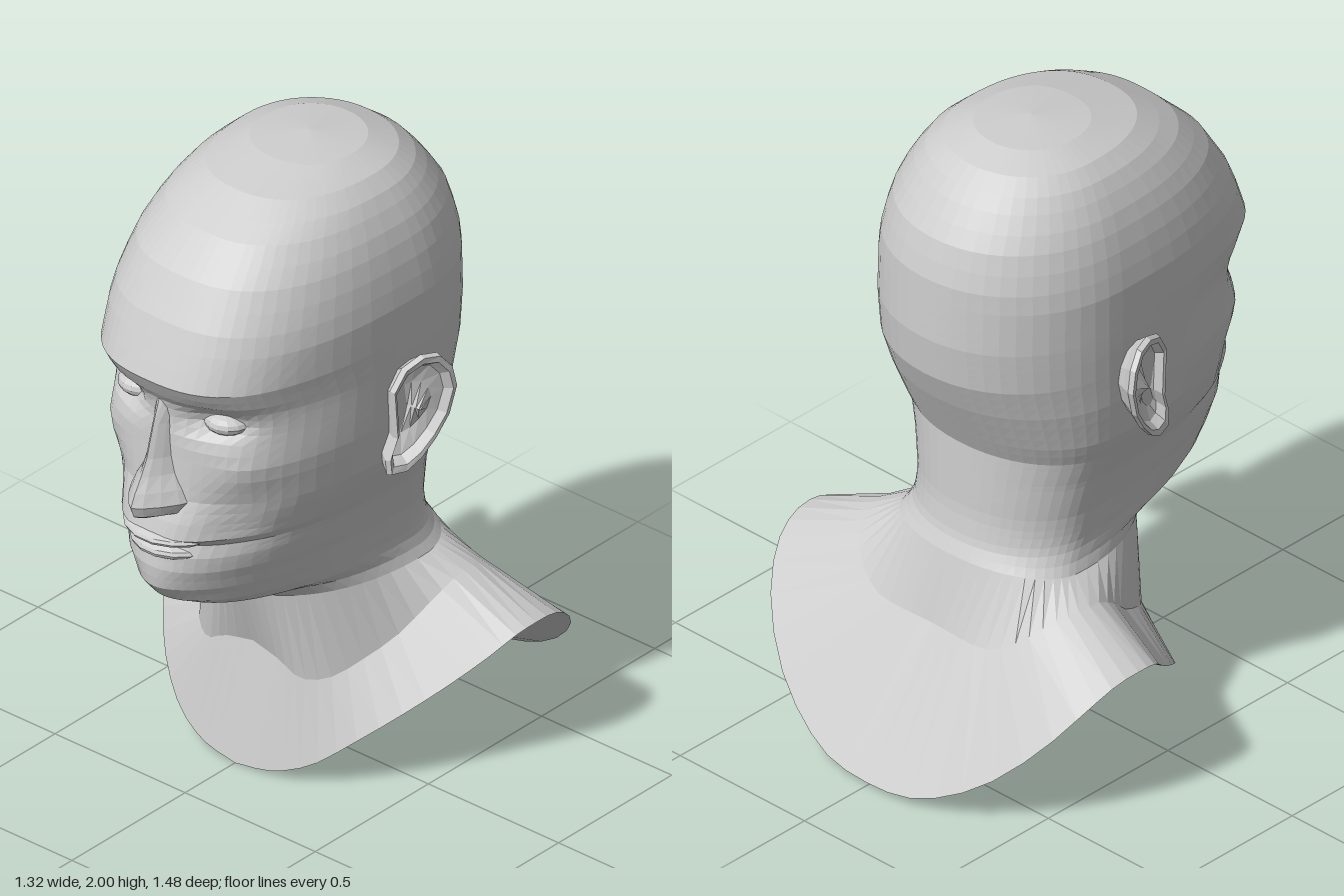
import * as THREE from 'three';

const clay = new THREE.MeshStandardMaterial({ color: 0xcccccc });
clay.name = 'clay grey';

const V = (x, y, z) => new THREE.Vector3(x, y, z);
const HALF = 30; // columns from the front to the back of one side
const steps = Array.from({ length: HALF + 1 }, (_, i) => Math.pow(i / HALF, 1.2));

// Piecewise linear lookup in a table of [y, value]
function lookup(table, y) {
  if (y <= table[0][0]) return table[0][1];
  for (let i = 1; i < table.length; i++) {
    const [y0, a] = table[i - 1], [y1, b] = table[i];
    if (y <= y1) return a + (b - a) * (y - y0) / (y1 - y0);
  }
  return table[table.length - 1][1];
}

// Faceted mesh
function facet(name, geometry) {
  const g = geometry.index ? geometry.toNonIndexed() : geometry;
  g.computeVertexNormals();
  const mesh = new THREE.Mesh(g, clay);
  mesh.name = name;
  return mesh;
}

// Skin over closed rings of equal length
function loft(name, rings) {
  const n = rings[0].length, index = [];
  for (let r = 0; r < rings.length - 1; r++) {
    for (let i = 0; i < n; i++) {
      const j = (i + 1) % n, a = r * n + i, b = r * n + j;
      index.push(a, b, b + n, a, b + n, a + n);
    }
  }
  const g = new THREE.BufferGeometry().setFromPoints(rings.flat());
  g.setIndex(index);
  return facet(name, g);
}

// Complete a left half ring (front to back) with its mirror image
const fullRing = half => [...half, ...half.slice(1, -1).reverse().map(p => V(-p.x, p.y, p.z))];

// Half ring sampled from a curve through a few points
function curveRing(points) {
  const c = new THREE.CatmullRomCurve3(points.map(p => V(...p)));
  return fullRing(steps.map(t => c.getPoint(t)));
}

// Head outline: front and back profile, half width, widest depth, squareness
const front = [[.6, .28], [.64, .33], [.67, .46], [.685, .54], [.715, .595], [.77, .63], [.84, .65], [.89, .645],
  [.93, .625], [.96, .665], [1.01, .65], [1.08, .62], [1.21, .61], [1.32, .605], [1.385, .61], [1.42, .635],
  [1.48, .67], [1.53, .65], [1.65, .6], [1.77, .525], [1.87, .42], [1.95, .28], [1.985, .12], [2, -.05]];
const back = [[.6, -.405], [.7, -.38], [.785, -.365], [1.01, -.355], [1.21, -.455], [1.315, -.5], [1.45, -.515],
  [1.66, -.505], [1.777, -.467], [1.9, -.375], [1.95, -.31], [1.985, -.22], [2, -.05]];
const width = [[.6, .325], [.64, .31], [.7, .3], [.8, .31], [.92, .335], [1.07, .385], [1.2, .4], [1.4, .405],
  [1.6, .405], [1.7, .388], [1.8, .36], [1.9, .305], [1.95, .25], [1.985, .165], [2, 0]];
const middle = [[.6, -.2], [.75, -.12], [1, -.08], [1.6, -.08], [2, -.05]];
const square = [[.6, 2], [.75, 2], [.95, 2.3], [1.2, 2.6], [1.6, 2.7], [1.9, 2.5], [2, 2.2]];
const rows = [.6, .64, .67, .685, .715, .745, .77, .805, .84, .87, .89, .91, .93, .945, .96, .985, 1.01, 1.045, 1.08,
  1.12, 1.165, 1.21, 1.25, 1.285, 1.315, 1.34, 1.365, 1.39, 1.42, 1.45, 1.48, 1.53, 1.59, 1.65, 1.71, 1.77, 1.82,
  1.87, 1.91, 1.95, 1.97, 1.985, 2];

// Soft bumps and hollows of the face: x, y, spread x, spread y, depth
const reliefs = [[.17, 1.345, .085, .045, -.06], [.27, 1.2, .07, .06, .02], [.22, 1, .07, .09, -.03],
  [0, .775, .08, .045, .015], [.38, 1.42, .06, .12, -.03]];
const relief = (x, y) => reliefs.reduce((s, [cx, cy, sx, sy, d]) =>
  s + d * Math.exp(-(((x - cx) / sx) ** 2) - ((y - cy) / sy) ** 2), 0);

function headRing(y) {
  const [zf, zb, w, zc, n] = [front, back, width, middle, square].map(t => lookup(t, y));
  const tilt = Math.max(0, .7 - y) * .5;
  return fullRing(steps.map(t => {
    const a = t * Math.PI, c = Math.cos(a), s = Math.max(0, Math.sin(a));
    const e = 2 / (c > 0 ? n : 2.1);
    const x = t === 1 ? 0 : w * Math.pow(s, e);
    const reach = Math.pow(Math.abs(c), e);
    const z = c > 0 ? zc + (zf - zc) * reach + relief(x, y) * Math.min(1, c * 2) : zc - (zc - zb) * reach;
    return V(x, y + tilt * (1 - c) / 2, z);
  }));
}

// Ellipsoid bent backwards along x to follow the face
function pad(name, [x, y, z], [rx, ry, rz], bend) {
  const g = new THREE.SphereGeometry(1, 14, 8);
  g.scale(rx, ry, rz);
  const p = g.attributes.position;
  for (let i = 0; i < p.count; i++) p.setZ(i, p.getZ(i) - bend * p.getX(i) ** 2);
  g.translate(x, y, z);
  return facet(name, g);
}

// Ear: outline in [z, y], flaring outwards towards its back edge
function ear(side) {
  const outline = [[-.03, 1.42], [.03, 1.395], [.07, 1.33], [.065, 1.25], [.06, 1.17], [.085, 1.1], [.08, 1.05],
    [.03, 1.045], [-.02, 1.075], [-.07, 1.13], [-.115, 1.2], [-.14, 1.29], [-.125, 1.36], [-.085, 1.41]];
  const cz = -.02, cy = 1.24;
  // scale of the outline and offset along x for each ring
  const rings = [[.65, -.1], [.85, -.045], [1, -.012], [.97, .006], [.86, .004], [.76, -.025], [.45, -.04], [0, -.035]]
    .map(([k, dx]) => {
      const ring = outline.map(([z, y]) => V(side * (.445 - .29 * z + dx), cy + (y - cy) * k, cz + (z - cz) * k));
      return side > 0 ? ring : ring.reverse();
    });
  return loft(side > 0 ? 'leftEar' : 'rightEar', rings);
}

// Nose: rows of y, half width, root depth, ridge depth
function nose() {
  const table = [[1.02, .01, .6, .64], [1.024, .06, .58, .7], [1.04, .11, .56, .727], [1.075, .125, .56, .74],
    [1.115, .105, .56, .722], [1.16, .075, .56, .695], [1.21, .06, .56, .67], [1.315, .05, .55, .64],
    [1.39, .055, .55, .615], [1.43, .04, .55, .6]];
  const across = [-1, -.75, -.5, -.22, 0, .22, .5, .75, 1];
  return loft('nose', table.map(([y, w, zr, zt]) =>
    across.map(s => V(w * s, y, zr + (zt - zr) * Math.pow(1 - Math.abs(s) ** 1.3, .8)))));
}

export function createModel() {
  const bust = new THREE.Group();
  bust.name = 'bust';

  // Head and upper neck
  const headRings = rows.map(headRing);
  bust.add(loft('head', headRings));

  // Shoulders, from the arched rim up to the neck
  const rim = curveRing([[0, 0, .28], [.13, .02, .27], [.25, .07, .235], [.36, .16, .17], [.46, .25, .07],
    [.54, .33, -.04], [.61, .41, -.14], [.65, .465, -.21], [.662, .48, -.28], [.655, .47, -.37], [.63, .42, -.46],
    [.56, .31, -.56], [.43, .17, -.65], [.28, .07, -.705], [.14, .02, -.735], [0, .01, -.74]]);
  const collar = curveRing([[0, .38, .2], [.1, .36, .205], [.18, .32, .195], [.25, .33, .15], [.31, .38, .07],
    [.36, .44, -.03], [.4, .52, -.12], [.42, .57, -.2], [.42, .58, -.28], [.4, .565, -.34], [.36, .53, -.4],
    [.3, .48, -.44], [.22, .44, -.465], [.14, .435, -.47], [.07, .435, -.468], [0, .435, -.465]]);
  bust.add(loft('shoulders', [rim, collar, headRings[0]]));

  // Underside rising to a single point
  bust.add(loft('underside', [rim.map(() => V(0, .29, -.2)), rim]));

  // Face
  bust.add(nose());
  bust.add(pad('upperLip', [0, .948, .62], [.15, .024, .07], 1.7));
  bust.add(pad('lowerLip', [0, .898, .605], [.13, .028, .065], 1.7));
  for (const side of [1, -1]) {
    const label = side > 0 ? 'left' : 'right';
    bust.add(pad(label + 'Eye', [side * .165, 1.335, .515], [.075, .034, .055], 2));
    bust.add(ear(side));
  }
  return bust;
}
